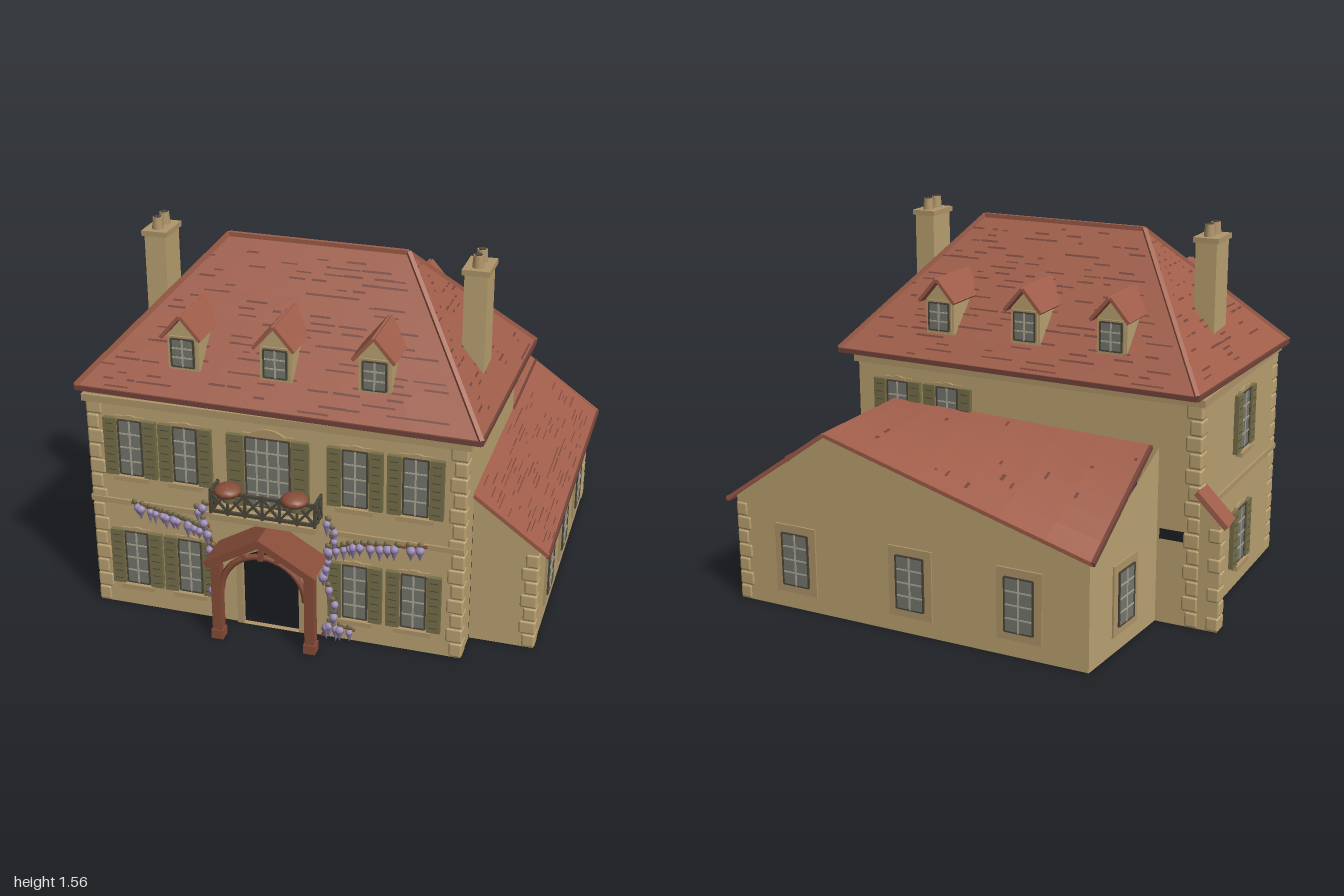
import * as THREE from 'three';
import { RoundedBoxGeometry } from 'three/addons/geometries/RoundedBoxGeometry.js';

const mat = (name, color, side = THREE.FrontSide) => Object.assign(new THREE.MeshStandardMaterial({ color, side }), { name });
const M = {
  stone: mat('wall stone', 0xbca372, THREE.DoubleSide),
  trim: mat('trim stone', 0xb0966a),
  roof: mat('clay roof', 0xa05e4a, THREE.DoubleSide),
  streak: mat('dark tile', 0x73443a, THREE.DoubleSide),
  wood: mat('porch wood', 0x874d39),
  shutter: mat('olive shutter', 0x777049),
  glass: mat('window glass', 0x77776f),
  bar: mat('window bars', 0xaca895),
  iron: mat('dark iron', 0x4a4639),
  flower: mat('purple blossom', 0x9b89b2),
};
let seed = 7;
const rnd = () => (seed = (seed * 16807) % 2147483647) / 2147483647;
const V = (x, y, z) => new THREE.Vector3(x, y, z);

function add(parent, name, geo, material, x = 0, y = 0, z = 0) {
  const m = new THREE.Mesh(geo, material);
  m.name = name;
  m.position.set(x, y, z);
  parent.add(m);
  return m;
}
const box = (p, name, m, w, h, d, x, y, z) => add(p, name, new THREE.BoxGeometry(w, h, d), m, x, y, z);

// Square bar from point a to point b
function beam(p, name, m, a, b, w, h = w) {
  const mid = a.clone().add(b).multiplyScalar(0.5);
  const bar = box(p, name, m, w, h, a.distanceTo(b), mid.x, mid.y, mid.z);
  bar.lookAt(b);
  return bar;
}
function group(p, name, x = 0, y = 0, z = 0, ry = 0) {
  const g = new THREE.Group();
  g.name = name;
  g.position.set(x, y, z);
  g.rotation.y = ry;
  p.add(g);
  return g;
}
// Single surface from quads, each with four corners
function surface(p, name, m, quads) {
  const pts = quads.flatMap(([a, b, c, d]) => [a, b, c, a, c, d]);
  const geo = new THREE.BufferGeometry().setFromPoints(pts);
  geo.computeVertexNormals();
  return add(p, name, geo, m);
}
// Roof slope: a-b is the eave, d-c the upper edge; dark tile streaks lie just above it
function slope(p, name, a, b, c, d, marks) {
  const at = (u, v) => a.clone().lerp(b, u).lerp(d.clone().lerp(c, u), v);
  const patch = (u, v, du, dv) => [at(u, v), at(u + du, v), at(u + du, v + dv), at(u, v + dv)];
  const n = 6, quads = [], lines = [];
  for (let i = 0; i < n; i++) for (let j = 0; j < n; j++) quads.push(patch(i / n, j / n, 1 / n, 1 / n));
  surface(p, name, M.roof, quads);
  const up = b.clone().sub(a).cross(d.clone().sub(a)).normalize().multiplyScalar(0.004);
  for (let i = 0; i < marks; i++) {
    const q = patch(rnd() * 0.9, Math.round(rnd() * 22) / 24 + 0.02, 0.02 + rnd() * 0.07, 0.008 + rnd() * 0.006);
    lines.push(q.map((v) => v.add(up)));
  }
  surface(p, name + 'Streaks', M.streak, lines);
  beam(p, name + 'Eave', M.streak, a.clone().setY(a.y - 0.008), b.clone().setY(b.y - 0.008), 0.014, 0.02);
}
// Flat wall outline in x-y, placed and turned
function wall(p, name, pts, x, z, ry, hole) {
  const s = new THREE.Shape(pts.map(([u, v]) => new THREE.Vector2(u, v)));
  if (hole) s.holes.push(hole);
  add(p, name, new THREE.ShapeGeometry(s), M.stone, x, 0, z).rotation.y = ry;
}
// Window facing +z, its middle at the given place
function windowUnit(p, x, y, z, ry, w, h, { shutters = 0, surround = 0.016, cols = 2, rows = 4 } = {}) {
  const g = group(p, 'window', x, y, z, ry);
  box(g, 'surround', M.trim, w + 2 * surround, h + 2 * surround, 0.016, 0, 0, 0);
  box(g, 'glass', M.glass, w, h, 0.024, 0, 0, 0);
  for (let i = 0; i <= cols; i++) box(g, 'upright', i % cols ? M.bar : M.iron, 0.007, h, 0.03, (i / cols - 0.5) * w, 0, 0);
  for (let i = 0; i <= rows; i++) box(g, 'crossbar', i % rows ? M.bar : M.iron, w, 0.006, 0.029, 0, (i / rows - 0.5) * h, 0);
  if (!shutters) return;
  box(g, 'sill', M.trim, w + 2 * surround + 0.02, 0.02, 0.04, 0, -h / 2 - surround, 0.008);
  const arch = add(g, 'archedHead', new THREE.CylinderGeometry(w * 0.62, w * 0.62, 0.02, 16, 1, false, Math.PI * 0.75, Math.PI * 0.5), M.trim, 0, h / 2 - w * 0.4, 0);
  arch.rotation.x = Math.PI / 2;
  for (const s of [-1, 1]) {
    const sx = s * (w / 2 + shutters / 2 + 0.008);
    box(g, 'shutter', M.shutter, shutters, h + 0.012, 0.024, sx, 0, 0.008);
    for (let i = 0; i < 7; i++) box(g, 'slat', M.iron, shutters * 0.6, 0.003, 0.027, sx, (i / 7 - 0.43) * h, 0.008);
  }
}
function quoins(p, x, z, sx, sz, height) {
  const n = Math.round(height / 0.066), h = height / n;
  for (let i = 0; i < n; i++) {
    const a = i % 2 ? 0.07 : 0.055, b = i % 2 ? 0.055 : 0.07;
    add(p, 'cornerStone', new RoundedBoxGeometry(a, h * 0.98, b, 2, 0.01), M.stone, x - sx * (a / 2 - 0.005), (i + 0.5) * h, z - sz * (b / 2 - 0.005));
  }
}
function dormer(p, x, z, ry) {
  const g = group(p, 'dormer', x, 0, z, ry);
  const s = new THREE.Shape([[-0.065, 1.08], [0.065, 1.08], [0.065, 1.225], [0, 1.3], [-0.065, 1.225]].map((q) => new THREE.Vector2(...q)));
  add(g, 'dormerBody', new THREE.ExtrudeGeometry(s, { depth: 0.2, bevelEnabled: false }), M.stone, 0, 0, -0.2);
  windowUnit(g, 0, 1.155, 0, 0, 0.092, 0.115, { surround: 0.01, rows: 3 });
  for (const k of [-1, 1]) {
    const r = box(g, 'dormerRoof', M.roof, 0.125, 0.014, 0.285, k * 0.042, 1.267, -0.11);
    r.rotation.z = -k * 0.86;
  }
}
function chimney(p, x, z) {
  const g = group(p, 'chimney', x, 0, z);
  box(g, 'stack', M.stone, 0.09, 0.42, 0.145, 0, 1.29, 0);
  box(g, 'cap', M.trim, 0.108, 0.022, 0.165, 0, 1.5, 0);
  for (const k of [-1, 1]) {
    add(g, 'pot', new THREE.CylinderGeometry(0.02, 0.024, 0.05, 12), M.trim, 0, 1.535, k * 0.035);
    add(g, 'potMouth', new THREE.CylinderGeometry(0.015, 0.015, 0.004, 12), M.iron, 0, 1.561, k * 0.035);
  }
}
// Climbing stem with leaves and hanging blossoms
function vine(p, count, pts) {
  const g = group(p, 'climbingVine');
  const curve = new THREE.CatmullRomCurve3(pts.map((q) => V(...q)));
  add(g, 'stem', new THREE.TubeGeometry(curve, 30, 0.006, 5), M.wood);
  for (let i = 0; i < count; i++) {
    const c = curve.getPoint((i + 0.6) / (count + 0.2)), s = 0.015 + rnd() * 0.006, drop = 0.035 + rnd() * 0.025;
    const x = c.x + (rnd() - 0.5) * 0.03, y = Math.max(c.y - 0.012, drop);
    add(g, 'blossom', new THREE.SphereGeometry(s, 8, 6), M.flower, x, y, c.z + 0.008);
    add(g, 'blossomTail', new THREE.ConeGeometry(s * 0.95, drop, 8), M.flower, x, y - drop / 2, c.z + 0.008).rotation.x = Math.PI;
    add(g, 'leaf', new THREE.SphereGeometry(0.014, 6, 4), M.shutter, c.x, c.y + 0.012, c.z + 0.006).scale.z = 0.5;
  }
}

export function createModel() {
  const root = new THREE.Group();
  root.name = 'countryHouse';
  const Q = Math.PI / 2, L = -0.875, R = 0.68, F = 0.678, B = -0.28, H = 0.97;

  // Main house walls, open below
  const house = group(root, 'mainHouse');
  const door = (w, top) => {
    const s = new THREE.Path();
    s.moveTo(-0.11 - w, 0.002).lineTo(-0.11 + w, 0.002).lineTo(-0.11 + w, top - 0.05);
    return s.quadraticCurveTo(-0.11, top + 0.05, -0.11 - w, top - 0.05).closePath();
  };
  const gap = new THREE.Path([[0.71, 0.36], [0.82, 0.36], [0.82, 0.46], [0.71, 0.46]].map((q) => new THREE.Vector2(...q)));
  wall(house, 'frontWall', [[L, 0], [R, 0], [R, H], [L, H]], 0, F, 0, door(0.125, 0.37));
  wall(house, 'leftEndWall', [[B, 0], [F, 0], [F, H], [B, H]], L, 0, -Q);
  wall(house, 'rightEndWall', [[-F, 0], [-0.53, 0], [-0.53, 0.6], [-B, 0.6], [-B, H], [-F, H]], R, 0, Q);
  wall(house, 'backWall', [[-R, 0.68], [0.67, 0.68], [0.67, 0], [-L, 0], [-L, H], [-R, H]], 0, B, Math.PI, gap);
  const frame = new THREE.Shape(door(0.145, 0.4).getPoints(8));
  frame.holes.push(door(0.12, 0.365));
  add(house, 'doorSurround', new THREE.ExtrudeGeometry(frame, { depth: 0.024, bevelEnabled: false }), M.trim, 0, 0, F - 0.012);
  for (const [x, z, sx, sz] of [[L, F, -1, 1], [R, F, 1, 1], [L, B, -1, -1]]) quoins(house, x, z, sx, sz, 0.94);
  const cx = (L + R) / 2;
  box(house, 'frontCornice', M.trim, R - L + 0.03, 0.03, 0.03, cx, 0.945, F);
  box(house, 'backCornice', M.trim, R - L + 0.03, 0.03, 0.03, cx, 0.945, B);
  for (const x of [L, R]) box(house, 'endCornice', M.trim, 0.03, 0.03, F - B, x, 0.945, 0.2);
  for (const s of [-1, 1]) box(house, 'frontStringCourse', M.trim, 0.56, 0.022, 0.02, -0.1 + s * 0.5, 0.49, F);
  box(house, 'endStringCourse', M.trim, 0.02, 0.022, F - B, L, 0.49, 0.2);

  // Shuttered windows
  for (const x of [-0.69, -0.455, 0.245, 0.485])
    for (const y of [0.235, 0.745]) windowUnit(house, x, y, F, 0, 0.097, 0.24, { shutters: 0.055 });
  for (const x of [0.245, 0.485]) windowUnit(house, x, 0.745, B, Math.PI, 0.097, 0.24, { shutters: 0.055 });
  windowUnit(house, -0.11, 0.715, F, 0, 0.18, 0.3, { shutters: 0.07, cols: 4, rows: 5 });
  for (const y of [0.235, 0.745]) windowUnit(house, L, y, 0.22, -Q, 0.1, 0.24, { shutters: 0.055 });

  // Hipped roof
  const roof = group(root, 'mainRoof');
  const fl = V(-0.92, 0.985, 0.675), fr = V(0.735, 0.985, 0.71), br = V(0.755, 0.985, -0.315), bl = V(-0.875, 0.985, -0.345);
  const rl = V(-0.43, 1.51, 0.19), rr = V(0.32, 1.51, 0.205);
  slope(roof, 'frontSlope', fl, fr, rr, rl, 150);
  slope(roof, 'rightSlope', fr, br, rr, rr, 80);
  slope(roof, 'backSlope', br, bl, rl, rr, 150);
  slope(roof, 'leftSlope', bl, fl, rl, rl, 80);
  // Underside of the overhang, from the eaves in to the walls
  const eave = [fl, bl, br, fr].map((v) => v.clone().setY(0.968));
  const head = [V(L, 0.968, F), V(L, 0.968, B), V(R, 0.968, B), V(R, 0.968, F)];
  surface(roof, 'overhang', M.roof, eave.map((e, i) => [e, eave[(i + 1) % 4], head[(i + 1) % 4], head[i]]));
  for (const [a, b] of [[fl, rl], [bl, rl], [fr, rr], [br, rr], [rl, rr]]) beam(roof, 'ridgeTiles', M.roof, a, b, 0.018);
  for (const x of [-0.475, -0.095, 0.3]) {
    dormer(roof, x, 0.61, 0);
    dormer(roof, x, -0.24, Math.PI);
  }
  chimney(roof, -0.73, 0.18);
  chimney(roof, 0.615, 0.26);

  // Low wing wrapping the right side and the back
  const wing = group(root, 'lowWing');
  wall(wing, 'wingFrontWall', [[R, 0], [0.945, 0], [0.945, 0.46], [R, 0.65]], 0, 0.525, 0);
  wall(wing, 'wingSideWall', [[-0.525, 0], [0.825, 0], [0.825, 0.46], [-0.525, 0.46]], 0.945, 0, Q);
  wall(wing, 'wingBackWall', [[-0.945, 0], [0.65, 0], [0.65, 0.455], [-0.5, 0.78], [-0.945, 0.46]], 0, -0.825, Math.PI);
  surface(wing, 'wingLeftWall', M.stone, [[V(-0.65, 0, -0.825), V(-0.7, 0, B), V(-0.7, 0.74, B), V(-0.65, 0.455, -0.825)]]);
  slope(wing, 'sideSlope', V(0.985, 0.445, 0.535), V(0.985, 0.445, -0.84), V(R, 0.664, -0.84), V(R, 0.67, 0.535), 110);
  slope(wing, 'upperSlope', V(R, 0.664, B), V(R, 0.664, -0.84), V(0.5, 0.79, -0.84), V(0.5, 0.79, B), 35);
  slope(wing, 'backSlope', V(-0.67, 0.46, -0.845), V(-0.67, 0.75, -0.29), V(0.5, 0.79, B), V(0.5, 0.79, -0.84), 14);
  const verge = [V(0.985, 0.438, -0.835), V(0.5, 0.782, -0.835), V(-0.67, 0.452, -0.84)];
  for (let i = 0; i < 2; i++) beam(wing, 'verge', M.roof, verge[i], verge[i + 1], 0.016);
  beam(wing, 'frontVerge', M.roof, V(0.985, 0.438, 0.53), V(R, 0.66, 0.53), 0.016);
  quoins(wing, 0.945, 0.525, 1, 1, 0.43);
  quoins(wing, 0.945, -0.825, 1, -1, 0.43);
  const plain = { surround: 0.036 };
  for (const z of [0.22, -0.15, -0.54]) windowUnit(wing, 0.945, 0.22, z, Q, 0.122, 0.225, plain);
  for (const x of [0.66, 0.12, -0.36]) windowUnit(wing, x, 0.22, -0.825, Math.PI, 0.122, 0.225, plain);
  windowUnit(wing, -0.675, 0.22, -0.55, -Q - 0.09, 0.122, 0.225, plain);

  // Small lean-to buttress on the left
  const lean = group(root, 'leanTo');
  const side = new THREE.Shape([[-0.965, 0], [L, 0], [L, 0.57], [-0.965, 0.475]].map((q) => new THREE.Vector2(...q)));
  add(lean, 'leanToWall', new THREE.ExtrudeGeometry(side, { depth: 0.06, bevelEnabled: false }), M.stone, 0, 0, -0.28);
  quoins(lean, -0.965, -0.22, -1, 1, 0.44);
  beam(lean, 'leanToRoof', M.roof, V(-0.995, 0.46, -0.255), V(-0.87, 0.59, -0.265), 0.115, 0.022);

  // Timber porch
  const porch = group(root, 'porch');
  for (const s of [-1, 1]) {
    const x = -0.1 + s * 0.195;
    box(porch, 'post', M.wood, 0.04, 0.38, 0.04, x, 0.19, 0.8);
    box(porch, 'postFoot', M.wood, 0.05, 0.04, 0.05, x, 0.02, 0.8);
    beam(porch, 'sideBeam', M.wood, V(x, 0.365, F), V(x, 0.365, 0.84), 0.03);
    const r = box(porch, 'porchRoof', M.wood, 0.265, 0.018, 0.175, -0.1 + s * 0.112, 0.43, 0.765);
    r.rotation.z = -s * 0.53;
    beam(porch, 'rafter', M.wood, V(-0.1 + s * 0.225, 0.352, 0.835), V(-0.1, 0.482, 0.835), 0.025);
    beam(porch, 'strut', M.wood, V(-0.1 + s * 0.06, 0.4, 0.82), V(-0.1 + s * 0.1, 0.43, 0.82), 0.018);
  }
  add(porch, 'archBrace', new THREE.TorusGeometry(0.175, 0.014, 6, 20, Math.PI), M.wood, -0.1, 0.23, 0.805);
  box(porch, 'kingPost', M.wood, 0.02, 0.08, 0.02, -0.1, 0.44, 0.82);

  // Balcony with crossed railings and two planted pots
  const bal = group(root, 'balcony');
  box(bal, 'balconySlab', M.trim, 0.44, 0.025, 0.1, -0.11, 0.535, 0.725);
  const rail = (a, b, n) => {
    for (const y of [0.56, 0.645]) beam(bal, 'rail', M.iron, a.clone().setY(y), b.clone().setY(y), 0.012);
    for (let i = 0; i <= n; i++) {
      const p = a.clone().lerp(b, i / n), q = a.clone().lerp(b, (i + 1) / n);
      beam(bal, 'baluster', M.iron, p.clone().setY(0.545), p.clone().setY(0.655), 0.01);
      if (i === n) break;
      beam(bal, 'crossBrace', M.iron, p.clone().setY(0.56), q.clone().setY(0.645), 0.009);
      beam(bal, 'crossBrace', M.iron, p.clone().setY(0.645), q.clone().setY(0.56), 0.009);
    }
  };
  rail(V(-0.325, 0, 0.765), V(0.105, 0, 0.765), 6);
  for (const x of [-0.325, 0.105]) rail(V(x, 0, F), V(x, 0, 0.765), 2);
  for (const x of [-0.245, 0.03]) {
    add(bal, 'pot', new THREE.CylinderGeometry(0.032, 0.024, 0.04, 10), M.shutter, x, 0.64, 0.775);
    add(bal, 'plant', new THREE.SphereGeometry(0.056, 12, 8), M.wood, x, 0.668, 0.78).scale.y = 0.5;
  }

  // Climbing blossoms around the entrance: stems, then garlands
  vine(root, 4, [[-0.31, 0.01, 0.695], [-0.36, 0.14, 0.695], [-0.34, 0.28, 0.695], [-0.36, 0.4, 0.695]]);
  vine(root, 8, [[0.11, 0.01, 0.695], [0.16, 0.13, 0.695], [0.13, 0.3, 0.695], [0.15, 0.4, 0.695]]);
  vine(root, 14, [[-0.35, 0.41, 0.7], [-0.44, 0.45, 0.7], [-0.55, 0.475, 0.7], [-0.7, 0.5, 0.695]]);
  vine(root, 12, [[0.14, 0.42, 0.7], [0.24, 0.46, 0.7], [0.36, 0.475, 0.7], [0.54, 0.495, 0.695]]);
  vine(root, 3, [[-0.36, 0.44, 0.7], [-0.41, 0.52, 0.7], [-0.35, 0.55, 0.695]]);
  vine(root, 4, [[0.13, 0.4, 0.7], [0.16, 0.5, 0.7], [0.13, 0.57, 0.695]]);
  vine(root, 3, [[0.14, 0.06, 0.695], [0.19, 0.07, 0.7], [0.25, 0.06, 0.695]]);
  return root;
}
